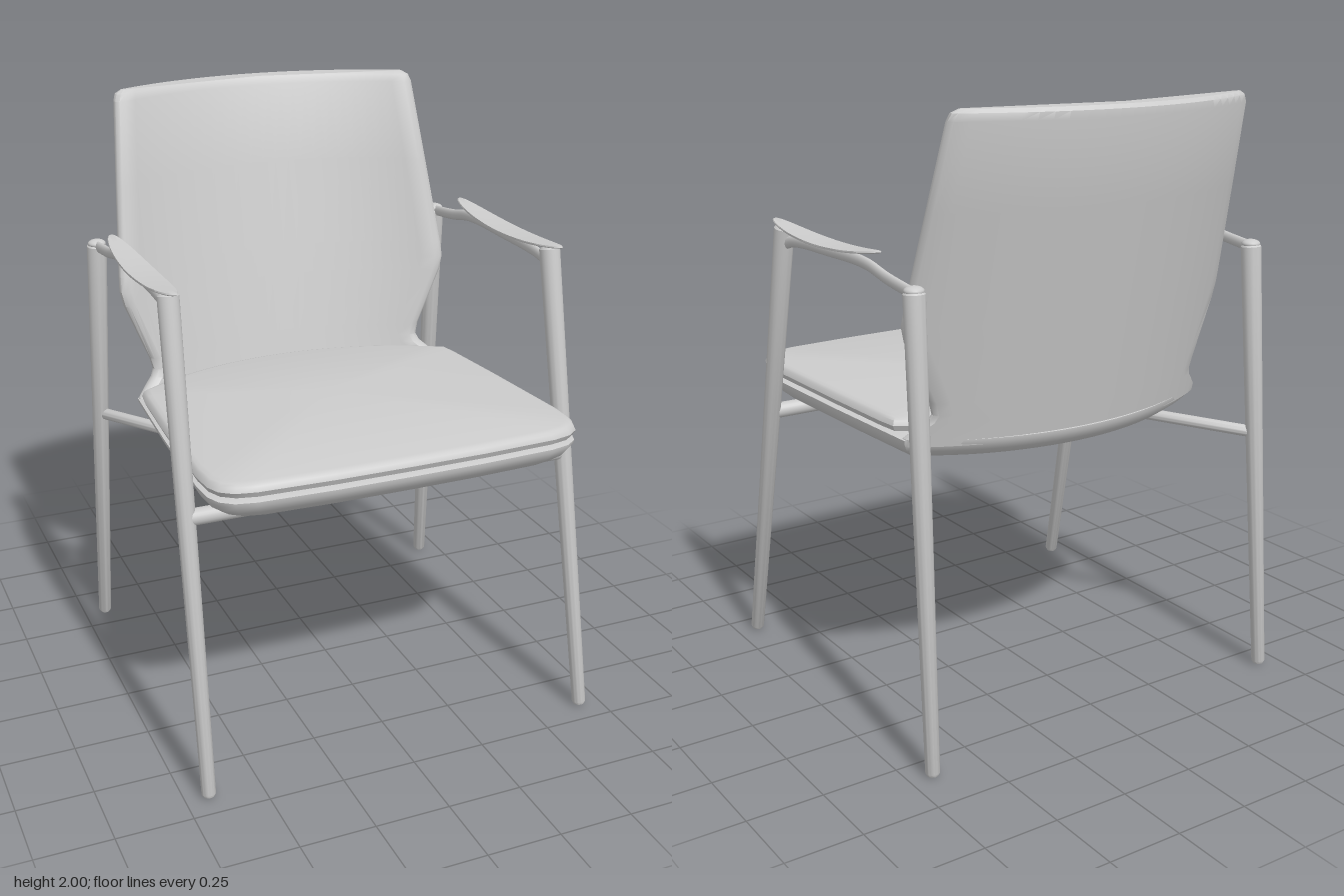
import * as THREE from 'three';
import { toCreasedNormals } from 'three/addons/utils/BufferGeometryUtils.js';

const BACK_RADIUS = 1.04; // plan curvature shared by the seat rear and the backrest

// Skin closed rings of [x, y, z] (counterclockwise from above, bottom to top) and cap both ends
function loft(rings) {
  const n = rings[0].length, pos = rings.flat(2), index = [];
  for (let i = 0; i < rings.length - 1; i++) {
    for (let j = 0; j < n; j++) {
      const a = i * n + j, b = i * n + (j + 1) % n;
      index.push(a, b, b + n, a, b + n, a + n);
    }
  }
  const cap = (ring, start, flip) => {
    const c = pos.length / 3;
    pos.push(...[0, 1, 2].map((k) => ring.reduce((s, p) => s + p[k], 0) / n));
    for (let j = 0; j < n; j++) {
      const a = start + j, b = start + (j + 1) % n;
      index.push(c, flip ? b : a, flip ? a : b);
    }
  };
  cap(rings[0], 0, true);
  cap(rings[rings.length - 1], (rings.length - 1) * n, false);
  const g = new THREE.BufferGeometry();
  g.setAttribute('position', new THREE.Float32BufferAttribute(pos, 3));
  g.setIndex(index);
  return toCreasedNormals(g, 0.7);
}

// Seat plan: rounded front corners, tapering sides, arc at the rear
function seatOutline(rearZ) {
  const half = [[0.25, 0.694], [0.5, 0.683], [0.565, 0.668], [0.605, 0.637], [0.624, 0.59],
    [0.63, 0.5], [0.61, 0.1], [0.592, -0.17]];
  for (let i = 0; i < 10; i++) {
    const x = 0.583 * (1 - i / 10);
    half.push([x, rearZ + BACK_RADIUS - Math.sqrt(BACK_RADIUS ** 2 - x * x)]);
  }
  const mirrored = half.map(([x, z]) => [-x, z]).reverse();
  return [[0, 0.696], ...half, [0, rearZ], ...mirrored];
}

// Seat slab from [inset, height] steps, tilted slightly down to the rear
function seatSlab(rearZ, steps, tilt) {
  const outline = seatOutline(rearZ), mid = 0.14;
  return loft(steps.map(([d, y]) => outline.map(([x, z]) => {
    const zi = mid + (z - mid) * (0.56 - d) / 0.56;
    return [x * (0.63 - d) / 0.63, y + (zi - 0.69) * tilt, zi];
  })));
}

// Curved, leaning backrest from [height, half width, edge inset] rows
function backrest() {
  const rows = [[0.955, 0.58, 0], [0.98, 0.582, 0], [1.01, 0.552, 0], [1.035, 0.525, 0],
    [1.06, 0.514, 0], [1.1, 0.524, 0], [1.3, 0.604, 0], [1.35, 0.615, 0], [1.4, 0.612, 0],
    [1.7, 0.584, 0], [1.965, 0.558, 0], [1.988, 0.55, 0.006], [2, 0.53, 0.02]];
  const t = 0.053, steps = 24;
  return loft(rows.map(([y, w, e]) => {
    const m = Math.asin((w - 0.04) / BACK_RADIUS);
    const polar = [];
    for (let i = 0; i <= steps; i++) polar.push([e, m * (2 * i / steps - 1)]);
    const edge = [[Math.max(e, 0.012), m + 0.016], [t / 2, m + 0.021], [t - Math.max(e, 0.012), m + 0.016]];
    polar.push(...edge);
    for (let i = 0; i <= steps; i++) polar.push([t - e, m * (1 - 2 * i / steps)]);
    polar.push(...edge.map(([r, a]) => [r, -a]).reverse());
    const centre = -0.43 - 0.22 * (y - 1.03) + BACK_RADIUS;
    return polar.map(([r, a]) => [Math.sin(a) * (BACK_RADIUS + r), y, centre - Math.cos(a) * (BACK_RADIUS + r)]);
  }));
}

// Thin oval arm pad, dished along its length
function armPad() {
  const steps = [[0.01, 0], [0.4, 0], [0.8, 0], [0.98, 0.001], [1, 0.004], [0.98, 0.008], [0.8, 0.009], [0.4, 0.009], [0.01, 0.009]];
  return loft(steps.map(([s, y]) => Array.from({ length: 48 }, (_, i) => {
    const a = i / 48 * Math.PI * 2, lz = -Math.sin(a) * s;
    return [Math.cos(a) * s * 0.046, 1.538 + y + 0.028 * lz * lz, 0.065 + lz * 0.357];
  })));
}

// Tapered round bar with softened ends, from a to b
function rod(a, b, r0, r1) {
  const from = new THREE.Vector3(...a), dir = new THREE.Vector3(...b).sub(from), len = dir.length();
  const profile = [[0, 0], [r0 * 0.75, 0], [r0, 0.01], [r1, len - 0.014], [r1 * 0.7, len - 0.002], [0, len]];
  const g = new THREE.LatheGeometry(profile.map(([r, y]) => new THREE.Vector2(r, y)), 24);
  g.applyQuaternion(new THREE.Quaternion().setFromUnitVectors(new THREE.Vector3(0, 1, 0), dir.normalize()));
  g.translate(...a);
  return toCreasedNormals(g, 0.7);
}

export function createModel() {
  const model = new THREE.Group();
  model.name = 'armchair';
  const grey = new THREE.MeshStandardMaterial({ color: 0xcccccc });
  grey.name = 'lightGrey';
  const add = (name, geometry) => {
    const mesh = new THREE.Mesh(geometry, grey);
    mesh.name = name;
    model.add(mesh);
    return mesh;
  };

  // Seat and back
  add('seatCushion', seatSlab(-0.412, [[0.03, 1.003], [0.008, 1.01], [0, 1.028], [0.006, 1.044], [0.014, 1.051], [0.028, 1.055]], 0.022));
  add('seatShell', seatSlab(-0.478, [[0.13, 0.906], [0.09, 0.911], [0.05, 0.928], [0.02, 0.953], [0.004, 0.98], [0.002, 0.994], [0.02, 0.999]], 0.018));
  add('backrest', backrest());

  // Legs, arm rails and arm pads on both sides
  for (const [side, s] of [['left', 1], ['right', -1]]) {
    add(side + 'FrontLeg', rod([s * 0.674, 0, 0.666], [s * 0.647, 1.562, 0.345], 0.023, 0.034));
    add(side + 'RearLeg', rod([s * 0.674, 0, -0.593], [s * 0.648, 1.495, -0.486], 0.023, 0.034));
    const cap = add(side + 'RearLegCap', new THREE.SphereGeometry(0.031, 24, 12));
    cap.scale.y = 0.5;
    cap.position.set(s * 0.648, 1.49, -0.486);
    const path = [[1.495, 0.35], [1.512, 0.29], [1.52, 0.2], [1.523, 0.05], [1.526, -0.15], [1.52, -0.23], [1.5, -0.33], [1.48, -0.49]];
    const curve = new THREE.CatmullRomCurve3(path.map(([y, z]) => new THREE.Vector3(0, y, z)));
    add(side + 'ArmRail', new THREE.TubeGeometry(curve, 48, 0.019, 16).scale(0.6, 1, 1).translate(s * 0.648, 0, 0));
    add(side + 'ArmPad', armPad().translate(s * 0.647, 0, 0));
    add(side + 'SeatSupport', rod([s * 0.36, 0.884, 0.488], [s * 0.36, 0.867, -0.05], 0.021, 0.021));
  }

  // Front crossbar and the single brace out to the right rear leg
  add('frontCrossbar', rod([-0.655, 0.885, 0.486], [0.655, 0.885, 0.486], 0.027, 0.027));
  add('rearBrace', rod([-0.36, 0.867, -0.04], [-0.655, 0.845, -0.53], 0.02, 0.02));
  return model;
}
